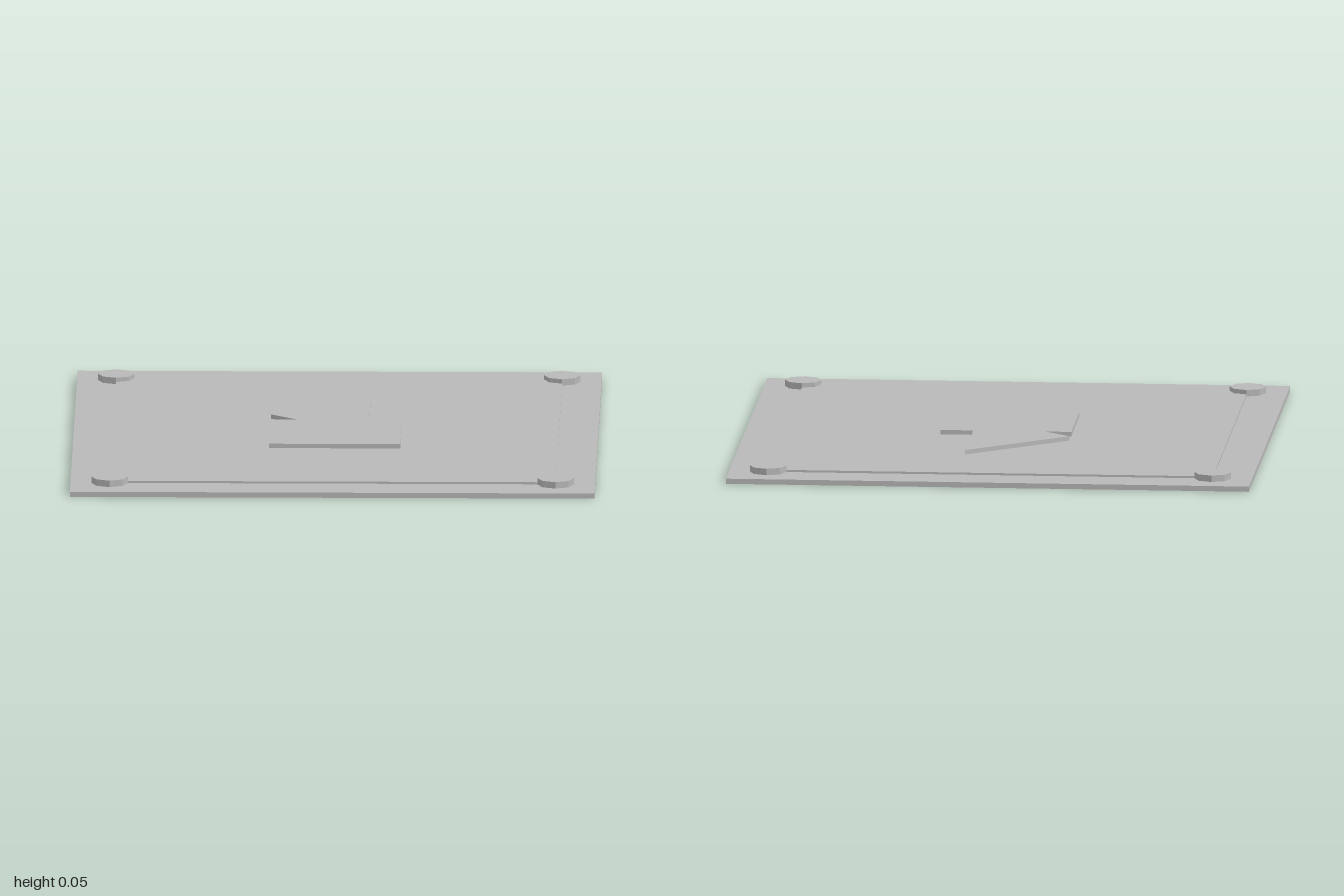
import * as THREE from 'three';

export function createModel() {
  const model = new THREE.Group();
  const grey = new THREE.MeshStandardMaterial({ color: 0xb8b8b8 });
  grey.name = 'plain grey';

  const add = (name, geometry, x, y, z) => {
    const mesh = new THREE.Mesh(geometry, grey);
    mesh.name = name;
    mesh.position.set(x, y, z);
    model.add(mesh);
  };

  // Square base with a slightly raised inner panel
  add('basePlate', new THREE.BoxGeometry(2, 0.02, 2), 0, 0.01, 0);
  add('innerPanel', new THREE.BoxGeometry(1.7, 0.008, 1.7), 0, 0.024, 0);

  // Eight-sided corner studs
  const stud = new THREE.CylinderGeometry(0.07, 0.07, 0.025, 8).toNonIndexed();
  stud.computeVertexNormals();
  for (const x of [-0.85, 0.85]) {
    for (const z of [-0.85, 0.85]) add('cornerStud', stud, x, 0.0325, z);
  }

  // Raised centre emblem: a rectangle with a notched, pointed top (x, -z)
  const outline = [
    [-0.25, -0.3], [0.25, -0.3], [0.25, 0.1], [0.125, 0.1],
    [0.125, 0.49], [-0.25, 0.185], [-0.15, 0.1], [-0.25, 0.1],
  ].map(([x, y]) => new THREE.Vector2(x, y));
  const emblem = new THREE.ExtrudeGeometry(new THREE.Shape(outline), { depth: 0.017, bevelEnabled: false });
  emblem.rotateX(-Math.PI / 2);
  add('centreEmblem', emblem, 0, 0.028, 0);

  return model;
}
